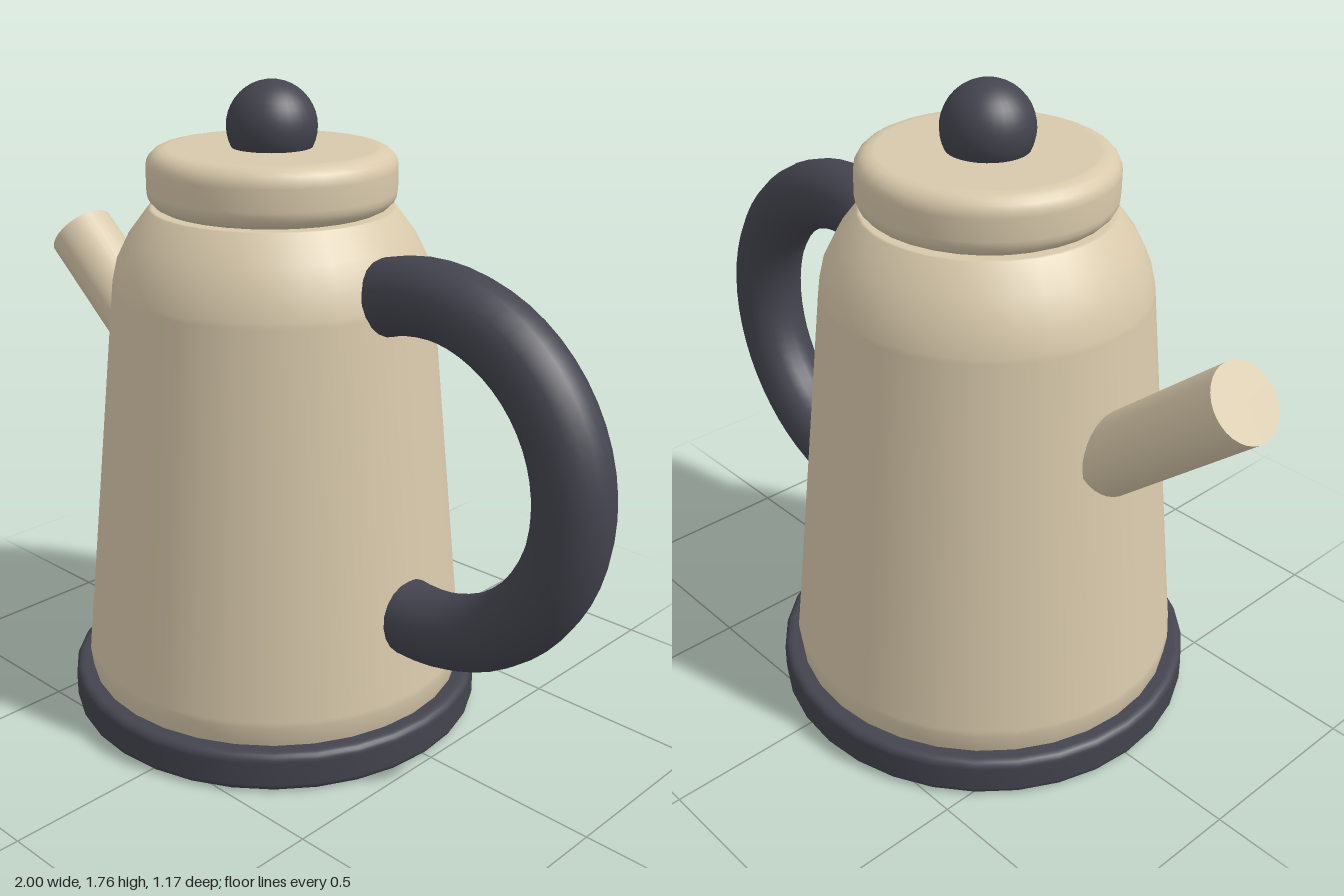
import * as THREE from 'three';

const AXIS_X = -0.1; // the pot's own axis
const cream = new THREE.MeshStandardMaterial({ color: 0xd8c9ab });
const dark = new THREE.MeshStandardMaterial({ color: 0x44444f });

function addMesh(group, name, geometry, material, x, y, z = 0) {
  const mesh = new THREE.Mesh(geometry, material);
  mesh.name = name;
  mesh.position.set(x, y, z);
  group.add(mesh);
  return mesh;
}

// Turned shape from [radius, height] pairs, listed from the bottom up
function turned(pairs, segments = 32) {
  return new THREE.LatheGeometry(pairs.map(([r, y]) => new THREE.Vector2(r, y)), segments);
}

// Profile of a disc with rounded rims; inner is the radius of the hole underneath
function roundedDisc(radius, y0, y1, bevel, inner = 0) {
  const steps = 5;
  const pairs = [[inner, y0], [radius - bevel - 0.004, y0]];
  for (const [cy, start] of [[y0 + bevel, -Math.PI / 2], [y1 - bevel, 0]]) {
    for (let i = 0; i <= steps; i++) {
      const a = start + (i / steps) * (Math.PI / 2);
      pairs.push([radius - bevel + bevel * Math.cos(a), cy + bevel * Math.sin(a)]);
    }
  }
  pairs.push([radius - bevel - 0.004, y1], [0, y1]);
  return pairs;
}

export function createModel() {
  const pot = new THREE.Group();
  pot.name = 'pot';

  // Tapered body with softened shoulder and foot
  addMesh(pot, 'body', turned([
    [0, 0], [0.41, 0], [0.42, 0.001], [0.475, 0.025], [0.515, 0.07], [0.533, 0.11],
    [0.54, 0.165], [0.538, 0.18], [0.434, 1.215], [0.432, 1.23],
    [0.418, 1.29], [0.383, 1.36], [0.33, 1.43], [0.32, 1.43], [0, 1.43],
  ]), cream, AXIS_X, 0);

  // Base ring around the foot
  addMesh(pot, 'base', turned(roundedDisc(0.583, 0, 0.11, 0.022, 0.34)), dark, AXIS_X, 0);

  // Lid and its knob
  addMesh(pot, 'lid', turned(roundedDisc(0.333, 1.43, 1.587, 0.05)), cream, AXIS_X, 0);
  addMesh(pot, 'knob', new THREE.SphereGeometry(0.12, 32, 20), dark, AXIS_X, 1.64);

  // Ring handle, both ends buried in the body
  const reach = THREE.MathUtils.degToRad(125);
  const handle = addMesh(pot, 'handle',
    new THREE.TorusGeometry(0.443, 0.1, 20, 40, 2 * reach), dark, 0.455, 0.838);
  handle.rotation.z = -reach;

  // Straight spout leaning outwards
  const from = new THREE.Vector3(-0.545, 0.896, 0);
  const to = new THREE.Vector3(-0.935, 1.224, 0);
  const mid = from.clone().add(to).multiplyScalar(0.5);
  const spout = addMesh(pot, 'spout',
    new THREE.CylinderGeometry(0.1, 0.1, from.distanceTo(to), 32), cream, mid.x, mid.y);
  spout.quaternion.setFromUnitVectors(
    new THREE.Vector3(0, 1, 0), to.clone().sub(from).normalize());

  return pot;
}
